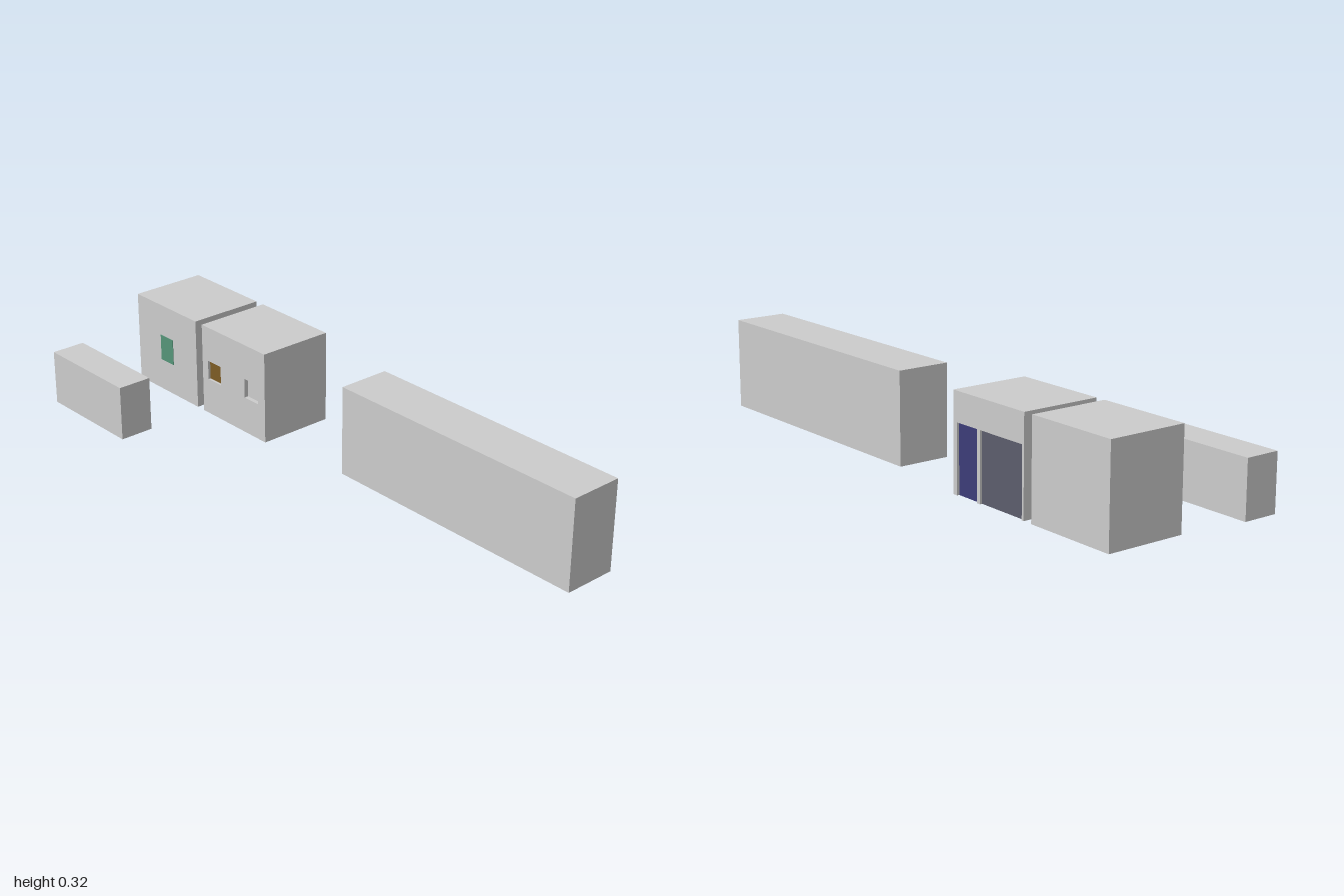
import * as THREE from 'three';

const paint = (color = 0xcccccc) => new THREE.MeshStandardMaterial({ color, flatShading: true });
const GREY = paint(), BROWN = paint(0x7d5c24), BLUE = paint(0x3c3c78);
const SLATE = paint(0x5c5d6c), GREEN = paint(0x559478), DARK = paint(0x333333), SKY = paint(0x33557d);

// Box given by its extents on each axis
function box(name, [x0, x1], [y0, y1], [z0, z1], material = GREY) {
  const mesh = new THREE.Mesh(new THREE.BoxGeometry(x1 - x0, y1 - y0, z1 - z0), material);
  mesh.position.set((x0 + x1) / 2, (y0 + y1) / 2, (z0 + z1) / 2);
  mesh.name = name;
  return mesh;
}

const outline = (path, points) => {
  points.forEach(([x, y], i) => (i ? path.lineTo(x, y) : path.moveTo(x, y)));
  path.closePath();
  return path;
};

const slab = (name, shape, z, depth) => {
  const mesh = new THREE.Mesh(new THREE.ExtrudeGeometry(shape, { depth, bevelEnabled: false }), GREY);
  mesh.position.z = z;
  mesh.name = name;
  return mesh;
};

export function createModel() {
  const model = new THREE.Group();
  model.name = 'buildingBlocks';
  const H = 0.317, back = -0.303, front = -0.037, skin = 0.015, e = 0.001;

  // Plain blocks
  model.add(
    box('longBlock', [0.04, 1], [0, 0.305], [-0.26, -0.08]),
    box('lowBlock', [-1, -0.618], [0, 0.187], [0.184, 0.303])
  );

  // Block with the notice board and small floor pieces
  const board = new THREE.Group();
  board.name = 'boardBlock';
  board.add(
    box('boardBody', [-0.972, -0.648], [0, H], [back, front]),
    box('noticeBoard', [-0.845, -0.778], [0.113, 0.205], [front, front + 0.002], GREEN),
    box('floorMat', [-0.83, -0.75], [-e, 0.001], [-0.186, -0.117], DARK),
    box('floorStrip', [-0.87, -0.83], [-e, 0.001], [-0.19, -0.174], SKY)
  );
  model.add(board);

  // Block with sunken windows in front and sunken doors behind
  const house = new THREE.Group();
  house.name = 'windowBlock';
  const x0 = -0.614, x1 = -0.289;
  house.add(box('houseBody', [x0, x1], [0, H], [back + skin, front - skin]));

  const wall = outline(new THREE.Shape(), [[x0, 0], [x1, 0], [x1, H], [x0, H]]);
  for (const [a, b] of [[-0.585, -0.518], [-0.393, -0.325]]) {
    wall.holes.push(outline(new THREE.Path(), [[a, 0.127], [a, 0.195], [b, 0.195], [b, 0.127]]));
  }
  house.add(
    slab('frontWall', wall, front - skin, skin),
    box('brownPane', [-0.585, -0.518], [0.127, 0.195], [front - skin, front - skin + 0.006], BROWN)
  );

  // Back wall is notched down to the ground around each door
  const top = 0.222, doors = [[-0.606, -0.415], [-0.4, -0.306]];
  const notched = [[x0, 0]];
  for (const [a, b] of doors) notched.push([a, 0], [a, top], [b, top], [b, 0]);
  notched.push([x1, 0], [x1, H], [x0, H]);
  house.add(
    slab('backWall', outline(new THREE.Shape(), notched), back, skin),
    box('wideDoor', doors[0], [0, top], [back + 0.008, back + skin], SLATE),
    box('narrowDoor', doors[1], [0, top], [back + 0.008, back + skin], BLUE)
  );

  // Side panel and the pieces under the floor
  const rug = new THREE.Mesh(new THREE.CylinderGeometry(1, 1, 1, 32), BROWN);
  rug.name = 'ovalRug';
  rug.scale.set(0.095, 0.002, 0.046);
  rug.position.set(-0.51, 0, -0.09);
  house.add(
    rug,
    box('sidePanel', [x0 - 0.002, x0], [0.125, 0.187], [-0.215, -0.125], DARK),
    box('blueFloor', [-0.4, -0.308], [-e, 0.001], [-0.29, -0.11], BLUE),
    box('floorSlot', [-0.6, -0.45], [-e, 0.001], [-0.23, -0.213], DARK)
  );
  model.add(house);

  // Rest the lowest faces on the ground
  model.position.y = e;
  return model;
}
